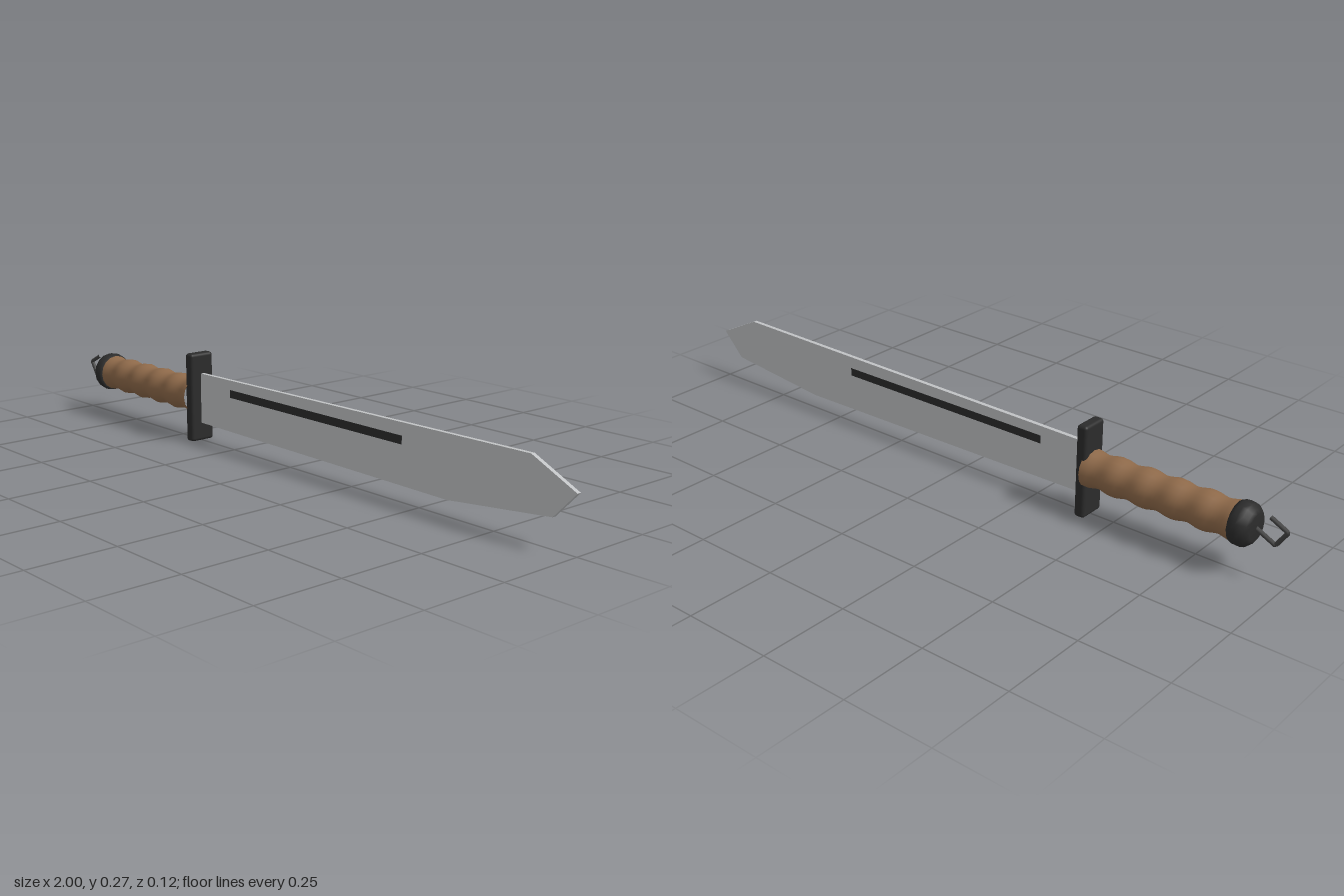
import * as THREE from 'three';
import { RoundedBoxGeometry } from 'three/addons/geometries/RoundedBoxGeometry.js';

const AXIS_Y = 0.135; // height of the handle's centre line

const mat = (name, color, side = THREE.FrontSide) =>
  Object.assign(new THREE.MeshStandardMaterial({ color, side }), { name });

export function createModel() {
  const model = new THREE.Group();
  model.name = 'machete';
  const steel = mat('steel', 0xc0c2c4);
  const black = mat('black', 0x2b2b2b);
  const leather = mat('brown leather', 0x8f6a4a);
  const wire = mat('dark wire', 0x424242);

  const add = (name, geometry, material, x = 0, y = 0, z = 0) => {
    const mesh = new THREE.Mesh(geometry, material);
    mesh.name = name;
    mesh.position.set(x, y, z);
    model.add(mesh);
    return mesh;
  };

  // Lathe along x: profile points are [x, radius] running from left to right
  const turned = (name, profile, material) => {
    const points = profile.map(([x, r]) => new THREE.Vector2(r, x));
    const g = new THREE.LatheGeometry(points, 16);
    g.rotateZ(-Math.PI / 2);
    return add(name, g, material, 0, AXIS_Y);
  };

  // Blade: flat outline with a clipped point
  const outline = [[-0.41, 0.055], [0.6, 0.045], [0.93, 0.08], [0.998, 0.152], [0.86, 0.218], [-0.41, 0.205]];
  const bladeShape = new THREE.Shape(outline.map(([x, y]) => new THREE.Vector2(x, y)));
  const bladeGeo = new THREE.ExtrudeGeometry(bladeShape, { depth: 0.012, bevelEnabled: false });
  add('blade', bladeGeo, steel, 0, 0, -0.006);

  // Dark groove on each face
  for (const side of [1, -1]) {
    add(side > 0 ? 'frontGroove' : 'backGroove',
      new THREE.BoxGeometry(0.7, 0.023, 0.002), black, 0.09, 0.167, side * 0.006);
  }

  // Guard
  add('guard', new RoundedBoxGeometry(0.032, 0.266, 0.08, 3, 0.009), black, -0.415, 0.133, 0);

  // Grip: gentle finger waves
  const grip = [];
  for (let i = 0; i <= 40; i++) {
    const t = i / 40;
    grip.push([-0.865 + t * 0.445, 0.0505 + 0.0035 * Math.cos(t * Math.PI * 10)]);
  }
  turned('grip', grip, leather);

  // Pommel: domed cap
  turned('pommel', [[-0.912, 0], [-0.911, 0.036], [-0.905, 0.046], [-0.893, 0.056],
    [-0.88, 0.059], [-0.868, 0.058], [-0.857, 0.054], [-0.857, 0]], black);

  // Lanyard loop: bent wire, open beside the pommel
  const bends = [[-0.945, 0.176], [-0.994, 0.151], [-0.964, 0.106], [-0.9, 0.138]]
    .map(([x, y]) => new THREE.Vector3(x, y, 0));
  const path = new THREE.CurvePath();
  for (let i = 0; i < 3; i++) path.add(new THREE.LineCurve3(bends[i], bends[i + 1]));
  add('lanyardLoop', new THREE.TubeGeometry(path, 48, 0.006, 8), wire);

  return model;
}
